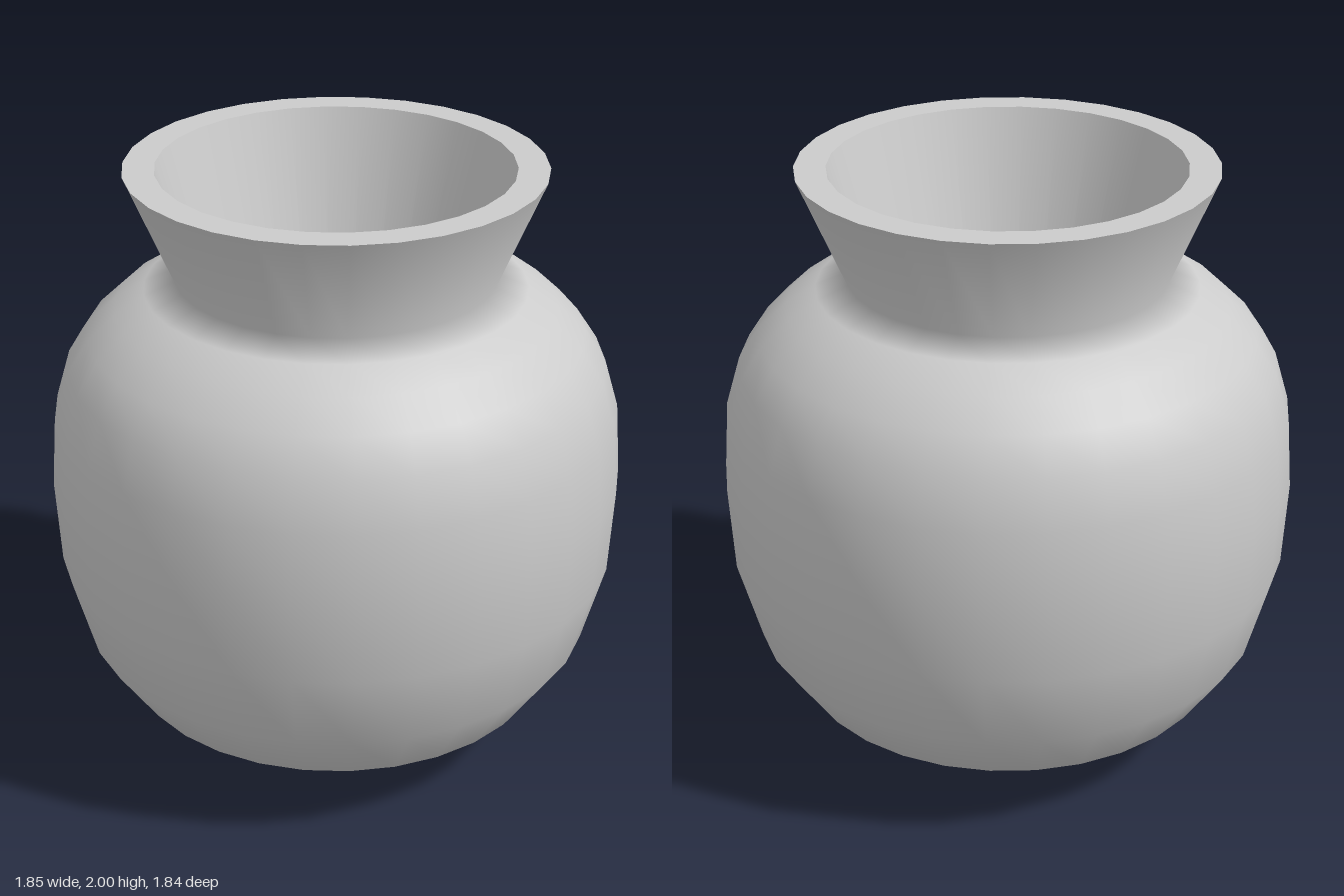
import * as THREE from 'three';

const SEGMENTS = 30;

// Revolves a profile of [radius, height] points, starting on the x axis
function turned(name, profile) {
  const points = profile.map(([r, y]) => new THREE.Vector2(r, y));
  const geometry = new THREE.LatheGeometry(points, SEGMENTS, Math.PI / 2);
  const material = new THREE.MeshStandardMaterial({ color: 0xcccccc });
  const mesh = new THREE.Mesh(geometry, material);
  mesh.name = name;
  return mesh;
}

export function createModel() {
  const vase = new THREE.Group();
  vase.name = 'vase';

  // Rounded belly, pinched neck and flared collar, shaded as one smooth skin
  vase.add(turned('outerBody', [
    [0, 0], [0.165, 0.008], [0.335, 0.038], [0.525, 0.105], [0.70, 0.225],
    [0.835, 0.42], [0.91, 0.69], [0.926, 0.97], [0.91, 1.195], [0.863, 1.355],
    [0.794, 1.46], [0.705, 1.545], [0.61, 1.605], [0.513, 1.645], [0.663, 2],
  ]));

  // Flat lip around the opening
  vase.add(turned('rim', [[0.663, 2], [0.563, 2]]));

  // Deep conical hollow with a tiny flat floor
  vase.add(turned('innerWall', [[0.563, 2], [0.01, 0.08]]));
  vase.add(turned('innerFloor', [[0.01, 0.08], [0, 0.08]]));

  return vase;
}
